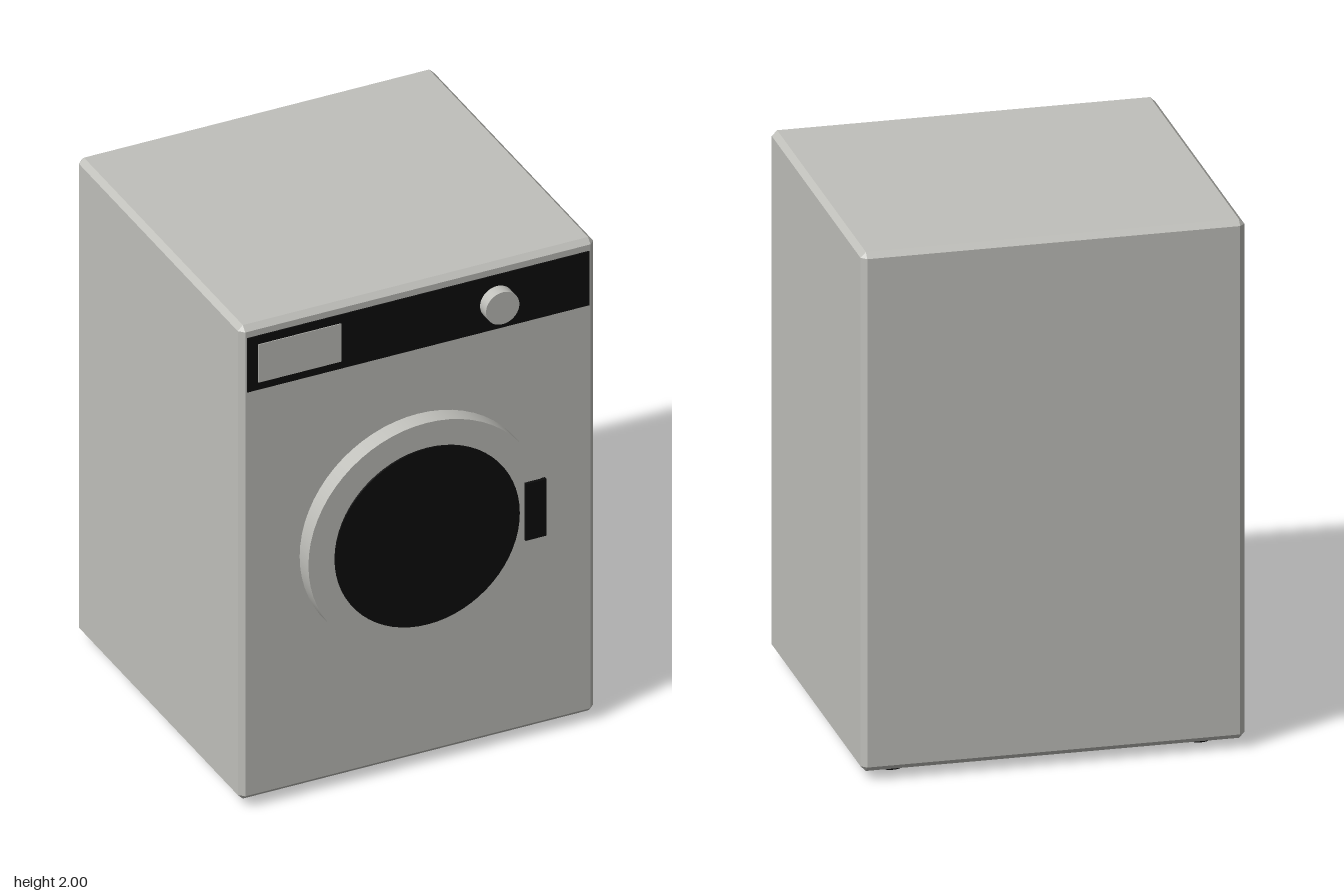
import * as THREE from 'three';
import { ConvexGeometry } from 'three/addons/geometries/ConvexGeometry.js';

const enamel = new THREE.MeshStandardMaterial({ name: 'paleGreyEnamel', color: 0xc0c0bb });
const black = new THREE.MeshStandardMaterial({ name: 'blackPlastic', color: 0x0c0c0c });

// Box with every edge cut by a small flat chamfer
function chamferedBox(w, h, d, c) {
  const points = [];
  for (const sx of [-1, 1]) for (const sy of [-1, 1]) for (const sz of [-1, 1]) {
    const x = sx * w / 2, y = sy * h / 2, z = sz * d / 2;
    points.push(
      new THREE.Vector3(x, y - sy * c, z - sz * c),
      new THREE.Vector3(x - sx * c, y, z - sz * c),
      new THREE.Vector3(x - sx * c, y - sy * c, z));
  }
  return new ConvexGeometry(points);
}

export function createModel() {
  const model = new THREE.Group();
  model.name = 'washingMachine';

  const add = (name, geometry, material, x, y, z) => {
    const mesh = new THREE.Mesh(geometry, material);
    mesh.name = name;
    mesh.position.set(x, y, z);
    model.add(mesh);
    return mesh;
  };
  // Plates and discs are placed by their back and front z
  const plate = (name, material, x0, x1, y0, y1, z0, z1) =>
    add(name, new THREE.BoxGeometry(x1 - x0, y1 - y0, z1 - z0), material,
      (x0 + x1) / 2, (y0 + y1) / 2, (z0 + z1) / 2);
  const disc = (name, material, radius, x, y, z0, z1) =>
    add(name, new THREE.CylinderGeometry(radius, radius, z1 - z0, 64).rotateX(Math.PI / 2),
      material, x, y, (z0 + z1) / 2);

  // Cabinet
  add('cabinet', chamferedBox(1.406, 1.966, 1.317, 0.02), enamel, 0, 1.017, -0.041);

  // Control panel
  plate('controlPanel', black, -0.677, 0.677, 1.732, 1.955, 0.615, 0.623);
  plate('detergentDrawer', enamel, -0.635, -0.307, 1.763, 1.921, 0.62, 0.626);
  disc('programKnob', enamel, 0.066, 0.309, 1.844, 0.618, 0.671);

  // Door
  disc('doorRim', enamel, 0.468, 0, 0.992, 0.61, 0.688);
  disc('doorGlass', black, 0.365, 0, 0.992, 0.687, 0.695);
  plate('doorHandle', black, 0.386, 0.469, 0.873, 1.108, 0.685, 0.7);

  // Feet
  for (const x of [-0.564, 0.564]) for (const z of [-0.557, 0.477]) {
    add('foot', new THREE.CylinderGeometry(0.046, 0.046, 0.04, 24), black, x, 0.02, z);
  }
  return model;
}
